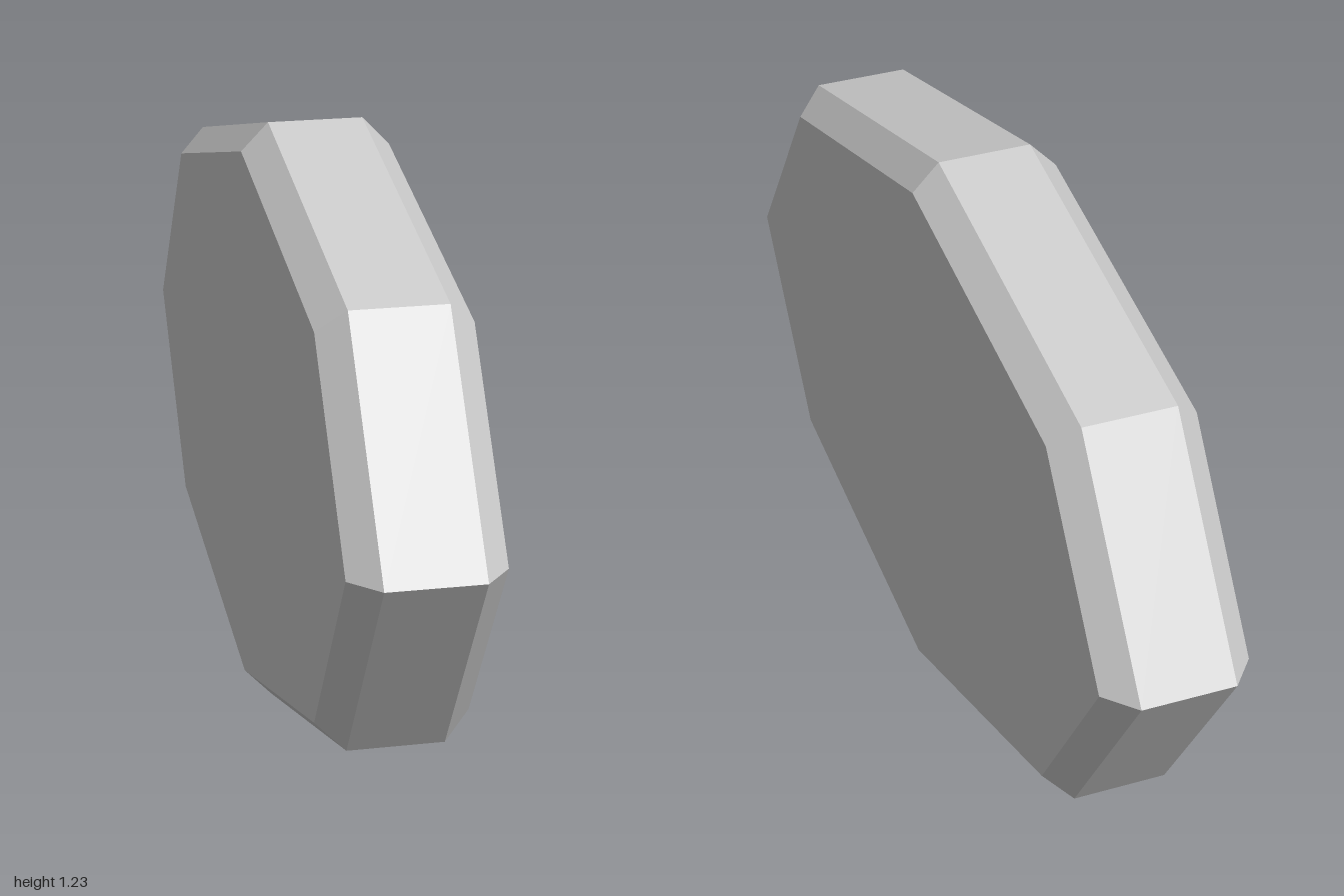
import * as THREE from 'three';

export function createModel() {
  const group = new THREE.Group();
  group.name = 'octagonalPlate';

  const halfLength = 1, halfHeight = 0.615;
  const rimWidth = 0.192, chamfer = 0.055;

  // Stretched octagon outline, one corner at each tip
  const corners = [];
  for (let i = 0; i < 8; i++) {
    const a = (i * Math.PI) / 4;
    corners.push(new THREE.Vector2(halfLength * Math.cos(a), halfHeight * Math.sin(a)));
  }

  // Flat plate with an even chamfer around both faces
  const geometry = new THREE.ExtrudeGeometry(new THREE.Shape(corners), {
    depth: rimWidth,
    bevelEnabled: true,
    bevelSegments: 1,
    bevelSize: chamfer,
    bevelThickness: chamfer,
    bevelOffset: -chamfer,
  });
  geometry.translate(0, halfHeight, -rimWidth / 2);
  geometry.rotateY(Math.PI / 2);

  const material = new THREE.MeshStandardMaterial({ color: 0xcccccc, flatShading: true });
  const plate = new THREE.Mesh(geometry, material);
  plate.name = 'chamferedPlate';
  group.add(plate);
  return group;
}
